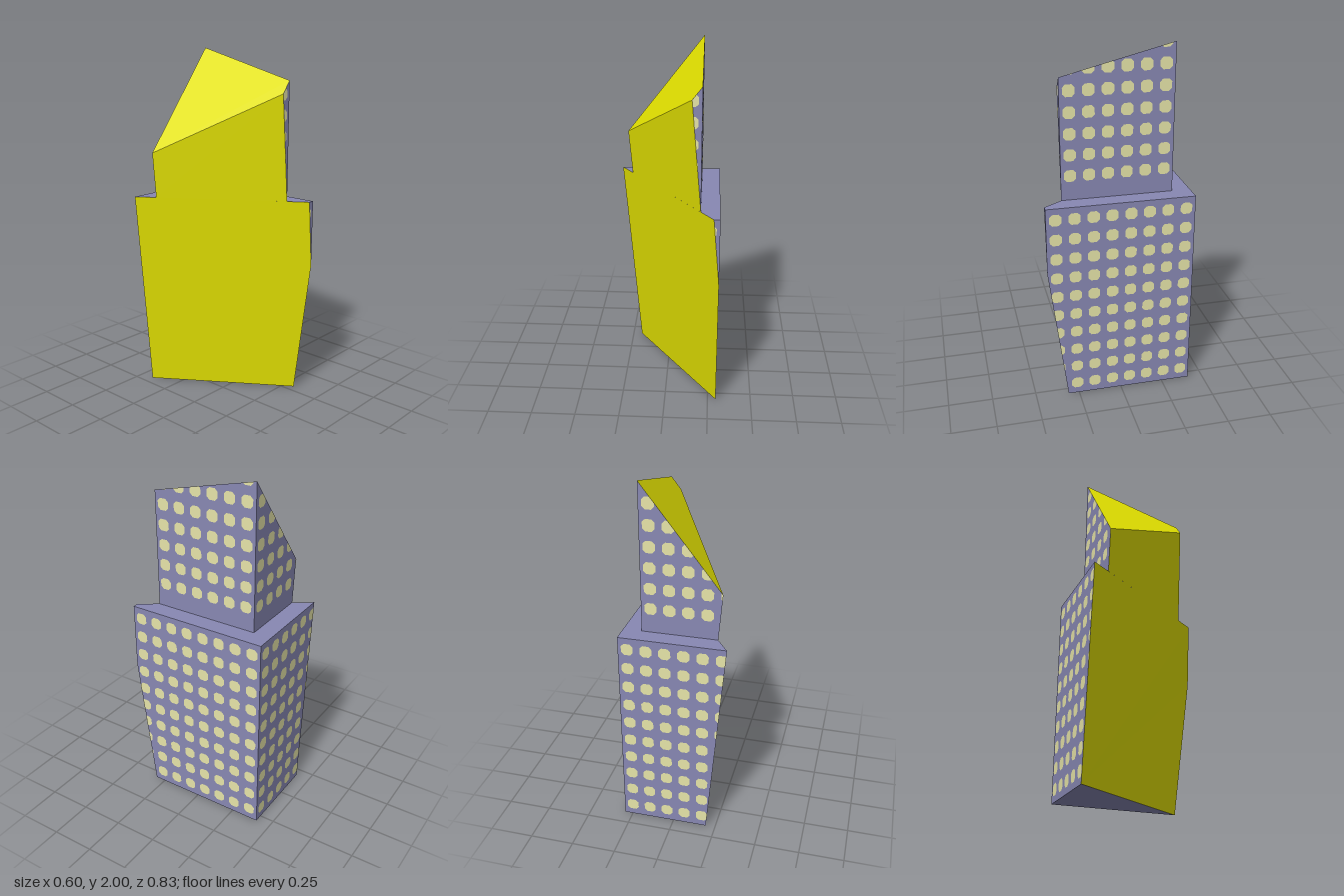
import * as THREE from 'three';
import { mergeGeometries } from 'three/addons/utils/BufferGeometryUtils.js';

const V = (x, y, z) => new THREE.Vector3(x, y, z);
const PITCH_U = 0.1035, PITCH_V = 0.1155; // window spacing
const HALF = 0.033, CUT = 0.016; // window half width and corner cut

function material(name, color) {
  const m = new THREE.MeshStandardMaterial({ color });
  m.name = name;
  return m;
}

// Flat convex polygon, corners counter-clockwise from outside
function polygon(points) {
  const pos = [];
  for (let i = 1; i < points.length - 1; i++) {
    for (const p of [points[0], points[i], points[i + 1]]) pos.push(p.x, p.y, p.z);
  }
  const g = new THREE.BufferGeometry();
  g.setAttribute('position', new THREE.Float32BufferAttribute(pos, 3));
  g.computeVertexNormals();
  return g;
}

// Trim a polygon to the inside of a convex wall
function clip(points, wall, normal) {
  let out = points;
  wall.forEach((a, i) => {
    const edge = wall[(i + 1) % wall.length].clone().sub(a);
    const inward = normal.clone().cross(edge).normalize();
    const dist = (p) => p.clone().sub(a).dot(inward);
    const next = [];
    out.forEach((p, j) => {
      const q = out[(j + 1) % out.length];
      const dp = dist(p), dq = dist(q);
      if (dp >= 0) next.push(p);
      if (dp * dq < 0) next.push(p.clone().lerp(q, dp / (dp - dq)));
    });
    out = next;
  });
  return out;
}

// Grid of chamfered windows, starting at a wall corner and running along dir
function windows(wall, normal, corner, dir, firstRow) {
  const across = V(0, 1, 0).cross(normal);
  const k = HALF - CUT;
  const outline = [[HALF, -k], [HALF, k], [k, HALF], [-k, HALF], [-HALF, k], [-HALF, -k], [-k, -HALF], [k, -HALF]];
  const panes = [];
  for (let col = 0; col < 8; col++) {
    for (let row = 0; row < 10; row++) {
      const c = corner.clone().addScaledVector(dir, (col + 0.5) * PITCH_U);
      c.y = firstRow + row * PITCH_V;
      const pane = outline.map(([u, v]) => c.clone().addScaledVector(across, u).add(V(0, v, 0)));
      const cut = clip(pane, wall, normal);
      if (cut.length > 2) panes.push(polygon(cut.map((p) => p.addScaledVector(normal, 0.001))));
    }
  }
  return mergeGeometries(panes);
}

export function createModel() {
  const blue = material('wallBlue', 0x8888b3);
  const cream = material('windowCream', 0xe7e5a9);
  const olive = material('facadeYellow', 0xe1e000);
  const model = new THREE.Group();
  model.name = 'tower';

  function tier(name, faces, corners, firstRow) {
    const group = new THREE.Group();
    group.name = name;
    const add = (part, geometry, mat) => {
      const mesh = new THREE.Mesh(geometry, mat);
      mesh.name = part;
      group.add(mesh);
    };
    for (const [part, points, mat] of faces) add(part, polygon(points), mat);
    // Windows on the three upright walls
    const walls = [
      ['sideWall', V(1, 0, 0), corners[0], V(0, 0, 1)],
      ['backWall', V(0, 0, -1), corners[0], V(-1, 0, 0)],
      ['frontWall', V(0, 0, 1), corners[1], V(-1, 0, 0)],
    ];
    for (const [part, normal, corner, dir] of walls) {
      const wall = faces.find((f) => f[0] === part)[1];
      add(part + 'Windows', windows(wall, normal, corner, dir, firstRow), cream);
    }
    model.add(group);
  }

  // Lower block: triangular plan with an outward leaning facade
  {
    const a = V(-0.195, 0, -0.414), b = V(0.297, 0, -0.414), c = V(0.297, 0, 0.312);
    const d = V(0.297, 0.795, 0.414), e = V(0.263, 1.175, 0.414), f = V(0.297, 1.175, 0.414);
    const g = V(0.297, 1.175, -0.414), h = V(-0.297, 1.175, -0.414);
    tier('lowerBlock', [
      ['sideWall', [c, b, g, f, d], blue],
      ['backWall', [b, a, h, g], blue],
      ['frontWall', [d, f, e], blue],
      ['facade', [a, c, d, e, h], olive],
      ['terrace', [h, e, f, g], blue],
      ['base', [a, b, c], blue],
    ], [g, f], 0.069);
  }

  // Upper block: same facade plane, with a steep sloping roof
  {
    const p = V(-0.227, 1.175, -0.31), q = V(0.193, 1.175, -0.31), r = V(0.193, 1.175, 0.31);
    const e = V(0.14, 1.777, 0.31), f = V(0.193, 1.845, 0.31);
    const g = V(0.193, 2, -0.31), h = V(-0.25, 1.435, -0.31);
    tier('upperBlock', [
      ['sideWall', [r, q, g, f], blue],
      ['backWall', [q, p, h, g], blue],
      ['frontWall', [r, f, e], blue],
      ['facade', [p, r, e, h], olive],
      ['roof', [h, e, f, g], olive],
    ], [g, f], 1.312);
  }
  return model;
}
